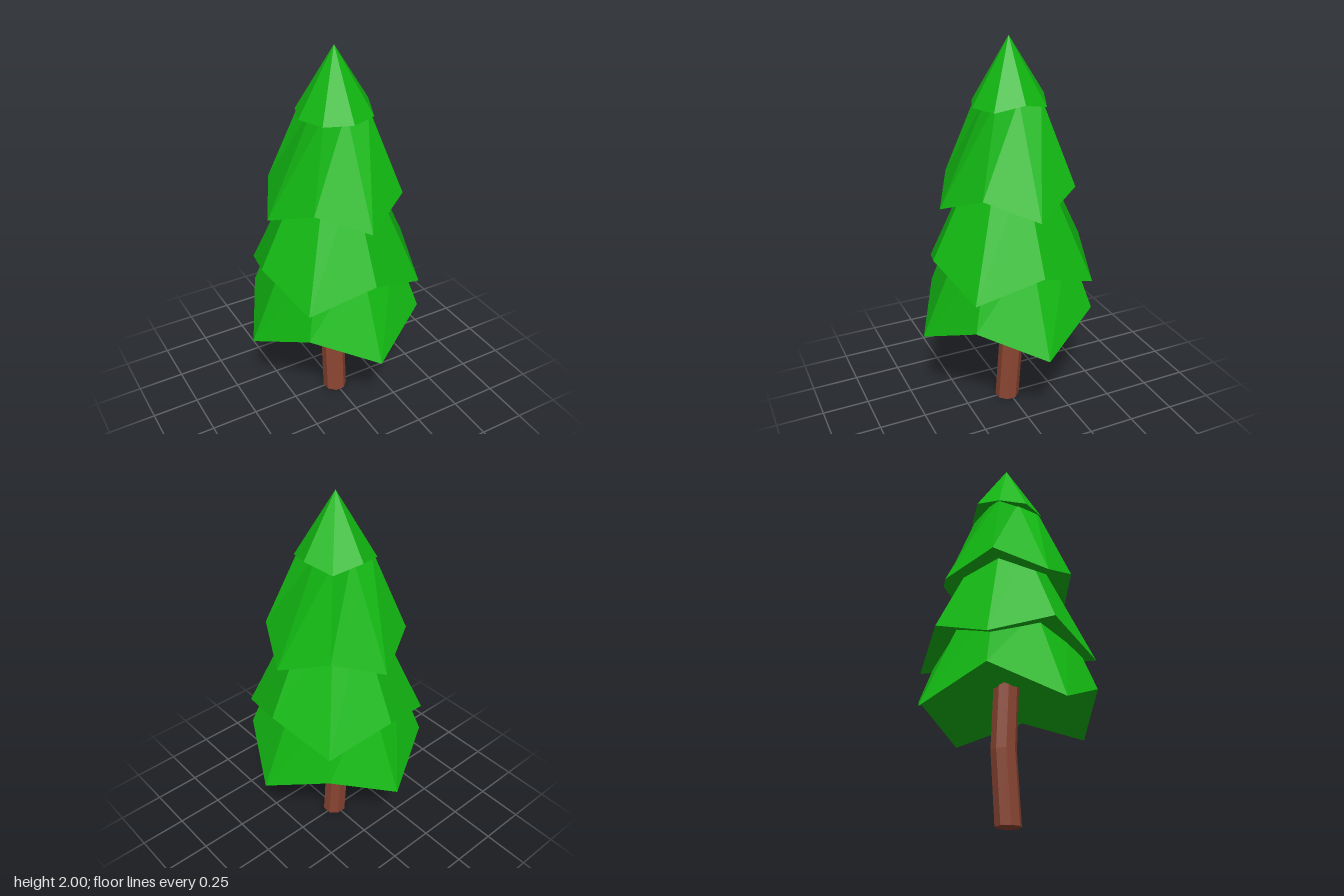
import * as THREE from 'three';

const leaf = new THREE.MeshStandardMaterial({ color: 0x12b812, flatShading: true });
const bark = new THREE.MeshStandardMaterial({ color: 0x8b4632, flatShading: true });

const SIDES = 8;

function meshFrom(points, material, name) {
  const geo = new THREE.BufferGeometry().setFromPoints(points);
  geo.computeVertexNormals();
  const mesh = new THREE.Mesh(geo, material);
  mesh.name = name;
  return mesh;
}

// Eight points whose radius and height alternate between tips and notches
function ring(tip, notch) {
  return Array.from({ length: SIDES }, (_, i) => {
    const [r, y] = i % 2 ? notch : tip;
    const a = (i / SIDES) * Math.PI * 2;
    return new THREE.Vector3(r * Math.cos(a), y, r * Math.sin(a));
  });
}

// Skirt of foliage: zigzag rim, sloping sides to a top ring or apex, hollowed underside
function foliageTier(name, rim, upper, apexY, underY) {
  const apex = new THREE.Vector3(0, apexY, 0);
  const under = new THREE.Vector3(0, underY, 0);
  const pts = [];
  for (let i = 0; i < SIDES; i++) {
    const j = (i + 1) % SIDES;
    const a = rim[i], b = rim[j];
    pts.push(a, b, under);
    if (upper) {
      const c = upper[i], d = upper[j];
      pts.push(b, a, c, b, c, d, d, c, apex);
    } else {
      pts.push(b, a, apex);
    }
  }
  return meshFrom(pts, leaf, name);
}

// Slightly bent trunk: eight-sided sections at [height, z offset]
function trunk() {
  const r = 0.065;
  const sections = [[0, 0.01], [0.36, -0.016], [0.72, 0]].map(([y, z]) =>
    Array.from({ length: SIDES }, (_, i) => {
      const a = ((i + 0.5) / SIDES) * Math.PI * 2;
      return new THREE.Vector3(r * Math.cos(a), y, z + r * Math.sin(a));
    }));
  const base = new THREE.Vector3(0, 0, 0.01);
  const pts = [];
  for (let i = 0; i < SIDES; i++) {
    const j = (i + 1) % SIDES;
    for (let s = 0; s < sections.length - 1; s++) {
      const lo = sections[s], hi = sections[s + 1];
      pts.push(lo[j], lo[i], hi[i], lo[j], hi[i], hi[j]);
    }
    pts.push(sections[0][i], sections[0][j], base);
  }
  return meshFrom(pts, bark, 'trunk');
}

export function createModel() {
  const tree = new THREE.Group();
  tree.name = 'tree';
  tree.add(trunk());

  tree.add(foliageTier('bottomFoliage',
    ring([0.485, 0.495], [0.453, 0.645]), ring([0.265, 1.0], [0.313, 1.0]), 1.05, 0.7));
  tree.add(foliageTier('lowerFoliage',
    ring([0.415, 0.92], [0.453, 0.795]), ring([0.181, 1.4], [0.172, 1.4]), 1.45, 0.95));
  tree.add(foliageTier('upperFoliage',
    ring([0.37, 1.19], [0.346, 1.295]), ring([0.114, 1.72], [0.164, 1.72]), 1.74, 1.33));

  // Crown, with its rim lifted on the left and back points
  const crownRim = ring([0.19, 1.675], [0.194, 1.675]);
  crownRim[0].y = crownRim[6].y = 1.71;
  tree.add(foliageTier('crownFoliage', crownRim, null, 2, 1.72));
  return tree;
}
